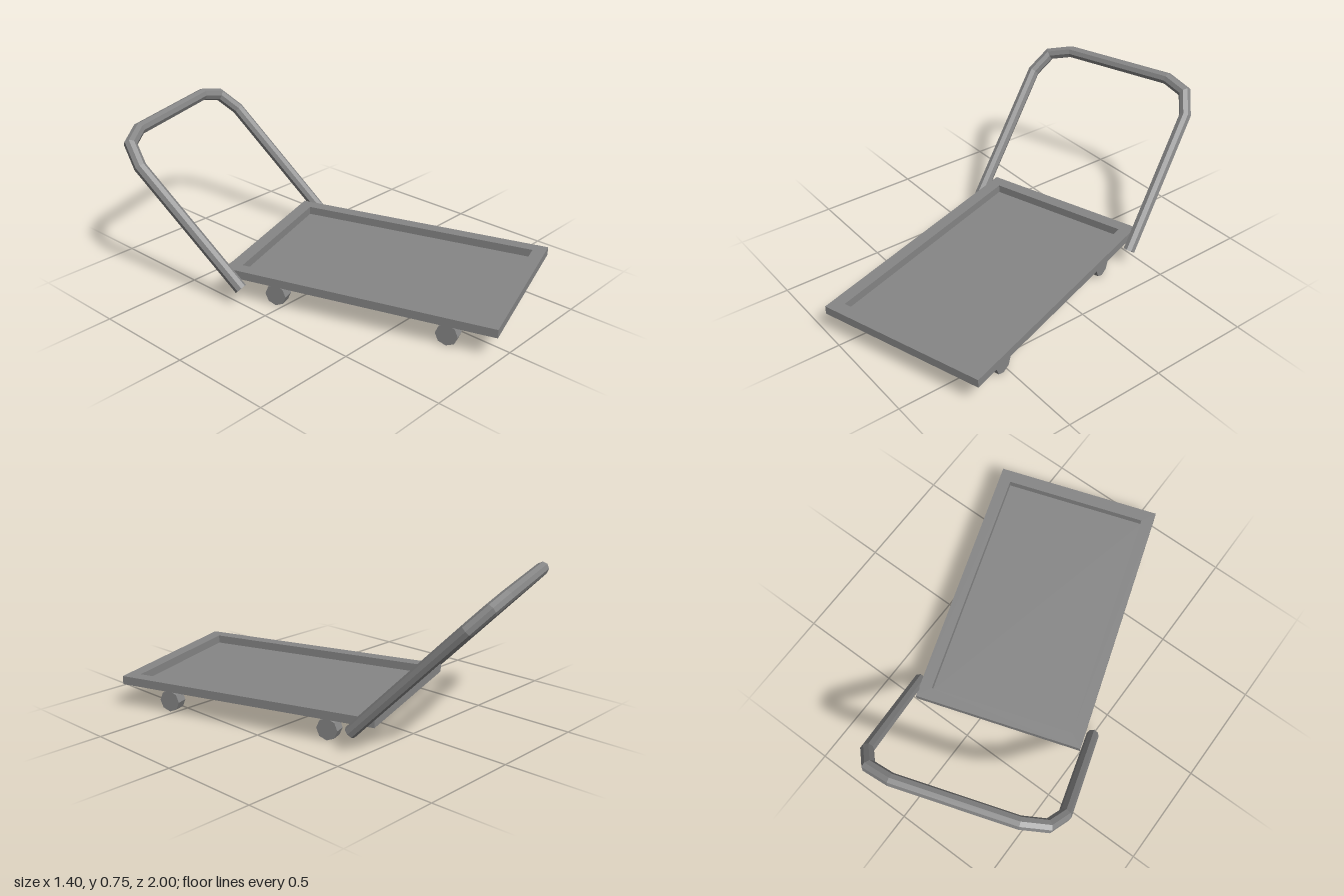
import * as THREE from 'three';

// Thin and hollow parts throughout, so both sides show
const material = new THREE.MeshStandardMaterial({
  color: 0x868686, flatShading: true, side: THREE.DoubleSide,
});

function meshFrom(name, geometry) {
  const mesh = new THREE.Mesh(geometry, material);
  mesh.name = name;
  return mesh;
}

// Joins equal-sized rings of points into a faceted skin
function loft(rings) {
  const n = rings[0].length;
  const points = [];
  for (let i = 0; i < rings.length - 1; i++) {
    for (let j = 0; j < n; j++) {
      const k = (j + 1) % n;
      points.push(...rings[i][j], ...rings[i][k], ...rings[i + 1][j]);
      points.push(...rings[i][k], ...rings[i + 1][k], ...rings[i + 1][j]);
    }
  }
  const geometry = new THREE.BufferGeometry();
  geometry.setAttribute('position', new THREE.Float32BufferAttribute(points, 3));
  geometry.computeVertexNormals();
  return geometry;
}

// Open mitred tube along a path lying in the XY plane
function mitredTube(path, radius, sides) {
  return loft(path.map((p, i) => {
    const before = p.clone().sub(path[Math.max(i - 1, 0)]).normalize();
    const after = path[Math.min(i + 1, path.length - 1)].clone().sub(p).normalize();
    const t = before.clone().add(after).normalize();
    const stretch = 1 / Math.max(t.dot(before), t.dot(after));
    return Array.from({ length: sides }, (_, j) => {
      const a = (j / sides) * Math.PI * 2;
      const s = radius * Math.cos(a) * stretch;
      return [p.x + s * t.y, p.y - s * t.x, -radius * Math.sin(a)];
    });
  }));
}

export function createModel() {
  const model = new THREE.Group();
  model.name = 'platformTrolley';

  // The trolley stands turned on the ground
  const trolley = new THREE.Group();
  trolley.name = 'trolley';
  trolley.position.set(0.1, 0, 0.236);
  trolley.rotation.y = 0.315;
  model.add(trolley);

  // Pressed sheet deck: outer skirt, raised rim, inner wall and sunken floor
  const deck = new THREE.Group();
  deck.name = 'deck';
  deck.position.set(-0.005, 0, 0.002);
  const rect = (w, d, y) => [[w, y, d], [w, y, -d], [-w, y, -d], [-w, y, d]];
  deck.add(meshFrom('deckRim', loft([
    rect(0.42, 0.66, 0.116),
    rect(0.42, 0.66, 0.157),
    rect(0.36, 0.598, 0.157),
    rect(0.36, 0.598, 0.117),
  ])));
  const floor = meshFrom('deckFloor', new THREE.PlaneGeometry(0.72, 1.196).rotateX(-Math.PI / 2));
  floor.position.y = 0.117;
  deck.add(floor);
  trolley.add(deck);

  // Bent push handle of open pipe, leaning backwards
  const half = [[0.45, 0], [0.45, 0.728], [0.4, 0.843], [0.285, 0.886]];
  const path = [
    ...half.map(([x, y]) => new THREE.Vector2(-x, y)),
    ...half.slice().reverse().map(([x, y]) => new THREE.Vector2(x, y)),
  ];
  const handle = meshFrom('handle', mitredTube(path, 0.03, 8));
  handle.position.set(-0.01, 0.088, -0.555);
  handle.rotation.x = -0.77;
  trolley.add(handle);

  // Four octagonal wheels, closed outside and hollow towards the middle
  const profile = [[0, 0.028], [0.0525, 0.028], [0.0525, -0.028]];
  const wheel = new THREE.LatheGeometry(profile.map(([x, y]) => new THREE.Vector2(x, y)), 8)
    .rotateZ(-Math.PI / 2);
  for (const [end, z] of [['front', 0.425], ['back', -0.411]]) {
    for (const [side, x, turn] of [['Left', 0.347, 0], ['Right', -0.364, Math.PI]]) {
      const mesh = meshFrom(`${end}${side}Wheel`, wheel);
      mesh.position.set(x, 0.0525, z);
      mesh.rotation.y = turn;
      trolley.add(mesh);
    }
  }
  return model;
}
